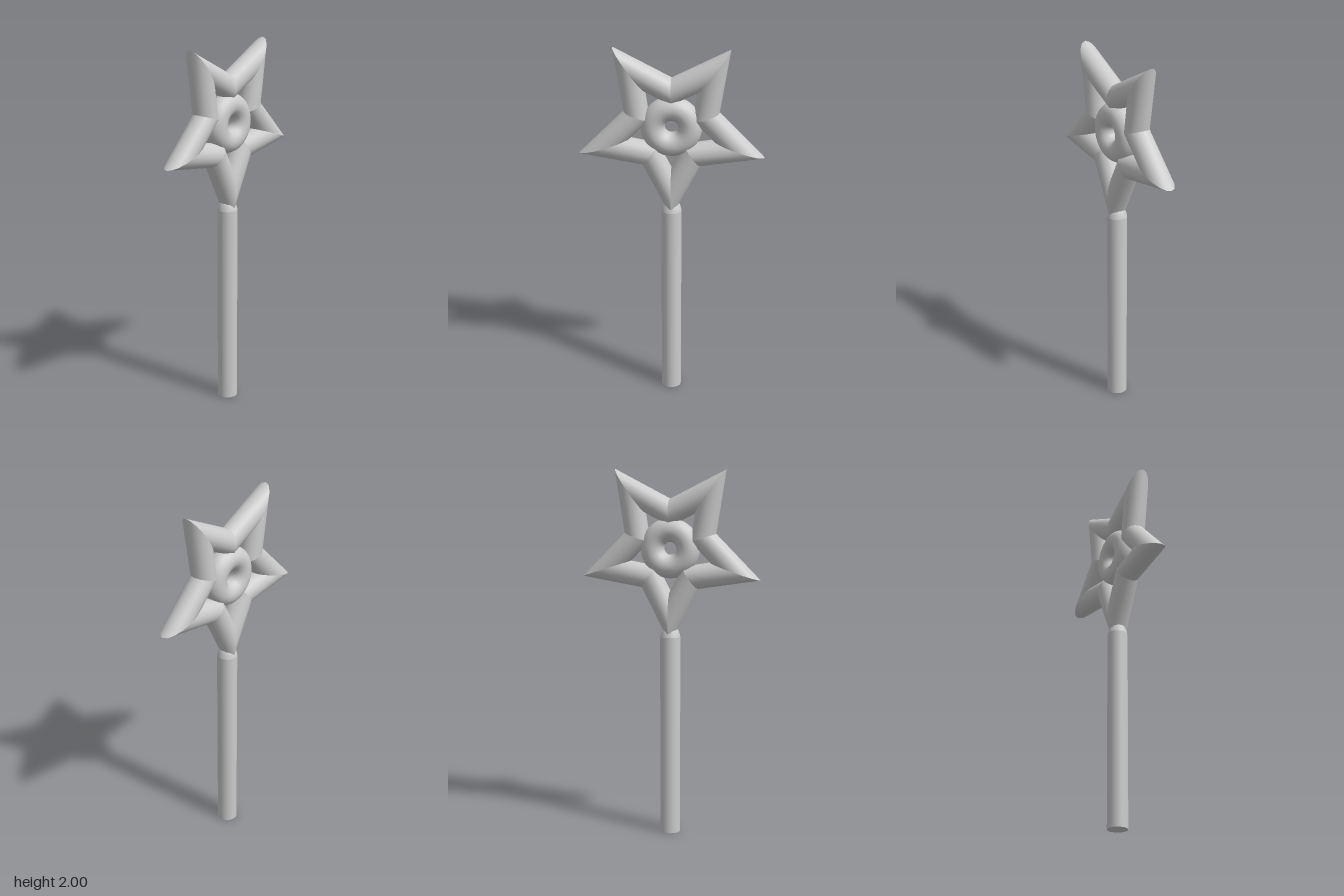
import * as THREE from 'three';

const CENTRE_Y = 1.58;
const SIDES = 16;
const TUBE = 0.065;

// Corner of the star: mitre ellipse centre radius and its radial half-width
const TIP = { r: 0.374, half: 0.145 };
const NOTCH = { r: 0.192, half: 0.073 };

// One straight tube between two mitred corners, given their angles
function strutGeometry(cornerA, angleA, cornerB, angleB) {
  const positions = [];
  const index = [];
  for (const [c, a] of [[cornerA, angleA], [cornerB, angleB]]) {
    for (let i = 0; i < SIDES; i++) {
      const t = (i / SIDES) * Math.PI * 2;
      const r = c.r + c.half * Math.cos(t);
      positions.push(r * Math.cos(a), r * Math.sin(a), TUBE * Math.sin(t));
    }
  }
  for (let i = 0; i < SIDES; i++) {
    const j = (i + 1) % SIDES;
    index.push(i, SIDES + i, j, j, SIDES + i, SIDES + j);
  }
  const geometry = new THREE.BufferGeometry();
  geometry.setAttribute('position', new THREE.Float32BufferAttribute(positions, 3));
  geometry.setIndex(index);
  geometry.computeVertexNormals();
  return geometry;
}

export function createModel() {
  const model = new THREE.Group();
  model.name = 'starWand';
  const material = new THREE.MeshStandardMaterial({ color: 0xcccccc });

  const add = (parent, name, geometry) => {
    const mesh = new THREE.Mesh(geometry, material);
    mesh.name = name;
    parent.add(mesh);
    return mesh;
  };

  // Handle: closed rod with a narrowed top sunk into the lowest star tip
  const rod = new THREE.CylinderGeometry(0.055, 0.055, 1.1, 24, 1, true);
  add(model, 'handle', rod).position.y = 0.55;
  const cap = new THREE.CircleGeometry(0.055, 24).rotateX(Math.PI / 2);
  add(model, 'handleBase', cap);
  const neck = [[0.055, 1.1], [0.05, 1.12], [0.036, 1.155], [0, 1.18]];
  add(model, 'handleNeck', new THREE.LatheGeometry(neck.map(([x, y]) => new THREE.Vector2(x, y)), 24));

  // Star outline: ten tubes, alternating tips and notches, one tip pointing down
  const star = new THREE.Group();
  star.name = 'star';
  star.position.y = CENTRE_Y;
  model.add(star);
  const step = Math.PI / 5;
  for (let k = 0; k < 10; k++) {
    const angle = -Math.PI / 2 + k * step;
    const [from, to] = k % 2 === 0 ? [TIP, NOTCH] : [NOTCH, TIP];
    add(star, `starStrut${k + 1}`, strutGeometry(from, angle, to, angle + step));
  }

  // Ring in the middle of the star
  add(star, 'centreRing', new THREE.TorusGeometry(0.098, 0.064, 20, 40));

  return model;
}
